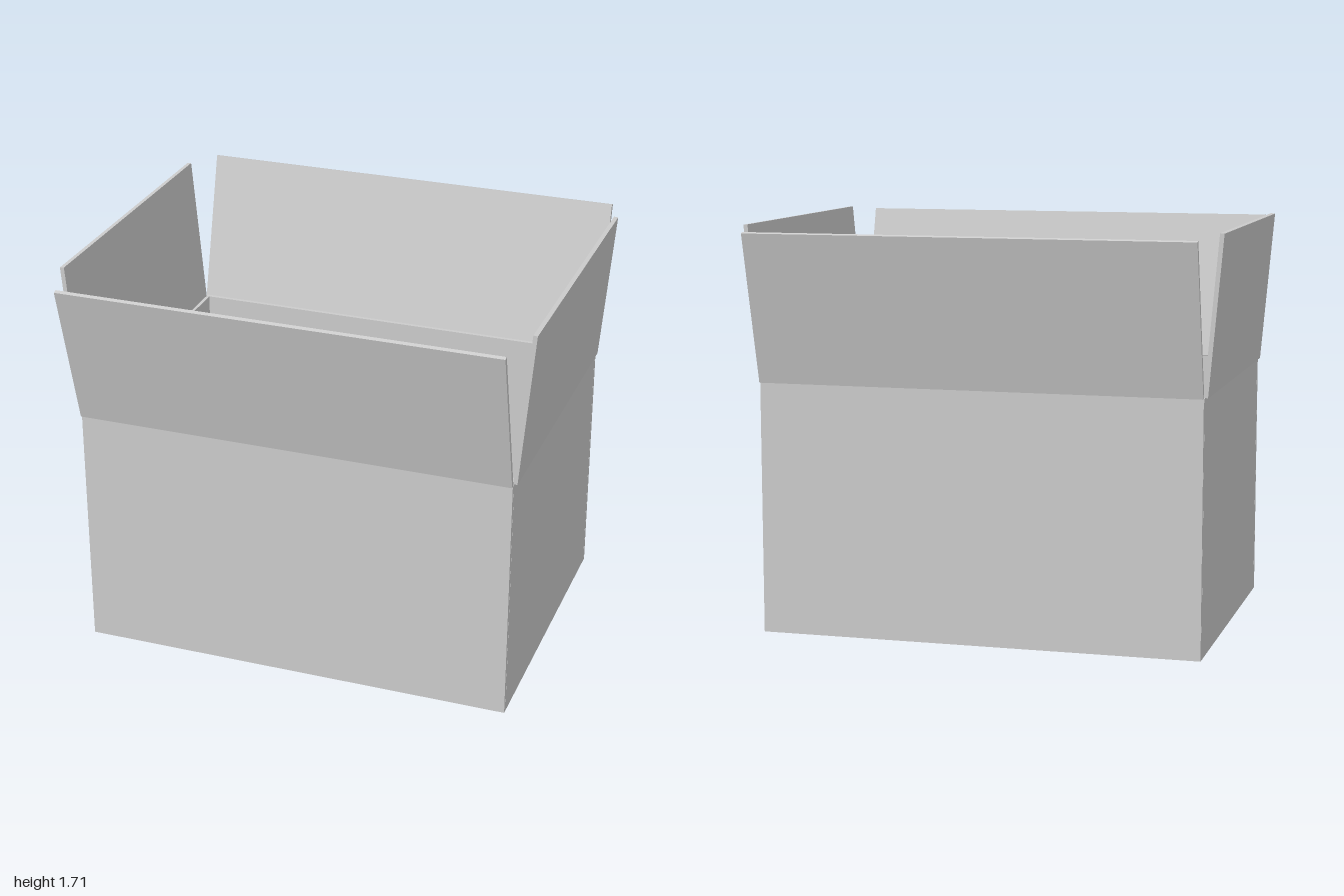
import * as THREE from 'three';

const W = 1.86, D = 1.34, H = 1.06; // outer size of the carton body
const T = 0.018;                    // board thickness
const FLAP = 0.65;                  // flap length

const board = new THREE.MeshStandardMaterial({ color: 0xcccccc, flatShading: true });

function panel(name, w, h, d) {
  const mesh = new THREE.Mesh(new THREE.BoxGeometry(w, h, d), board);
  mesh.name = name;
  return mesh;
}

// Flap hinged on its lower edge, leaning outward along +z
function flap(name, width, hingeZ, lean) {
  const mesh = panel(name, width, FLAP, T);
  mesh.geometry.translate(0, FLAP / 2, 0);
  mesh.position.set(0, H + 0.001, hingeZ);
  mesh.rotation.x = lean;
  return mesh;
}

export function createModel() {
  const model = new THREE.Group();
  model.name = 'openBox';

  // Floor
  const floor = panel('floor', W, 0.02, D);
  floor.position.y = 0.01;
  model.add(floor);

  // Each side: an upright wall plus its open flap, turned about y
  const sideWidth = D - 2 * T - 0.004;
  const sides = [
    { name: 'front', turn: 0, width: W, reach: D / 2, hinge: 0.671, lean: 15 },
    { name: 'left', turn: 90, width: sideWidth, reach: W / 2, hinge: 0.934, lean: 5 },
    { name: 'back', turn: 180, width: W, reach: D / 2, hinge: 0.671, lean: 15 },
    { name: 'right', turn: 270, width: sideWidth, reach: W / 2, hinge: 0.934, lean: 5 },
  ];
  for (const s of sides) {
    const side = new THREE.Group();
    side.name = s.name + 'Side';
    const wall = panel(s.name + 'Wall', s.width, H - 0.02, T);
    wall.position.set(0, (H + 0.02) / 2, s.reach - T / 2);
    side.add(wall, flap(s.name + 'Flap', s.width, s.hinge, THREE.MathUtils.degToRad(s.lean)));
    side.rotation.y = THREE.MathUtils.degToRad(s.turn);
    model.add(side);
  }
  return model;
}
